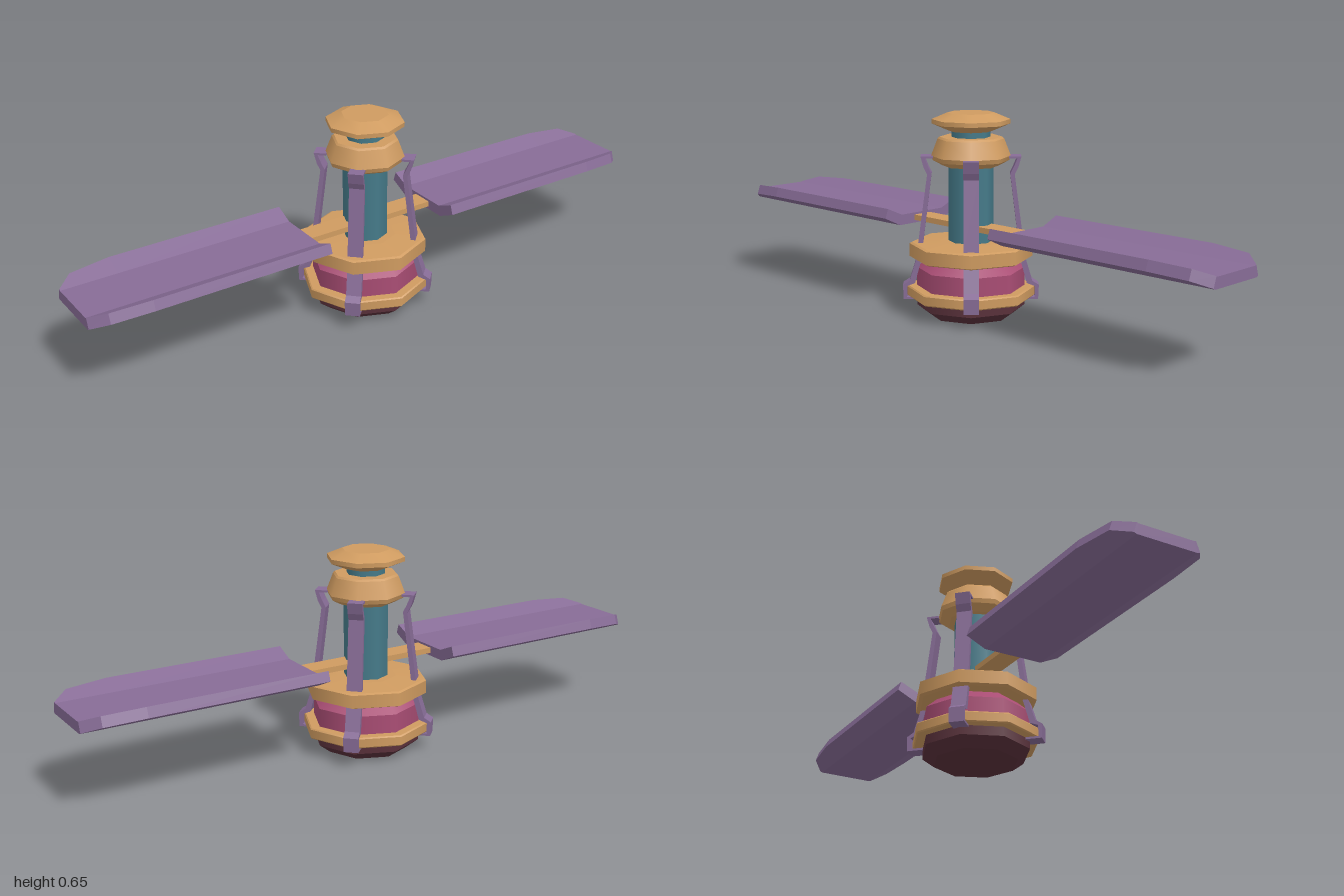
import * as THREE from 'three';
import { mergeGeometries } from 'three/addons/utils/BufferGeometryUtils.js';

const material = (name, color) => {
  const m = new THREE.MeshStandardMaterial({ color });
  m.name = name;
  return m;
};

// Eight-sided turned part: smooth around, sharp along the profile (listed bottom to top)
function turned(profile) {
  const bands = [];
  for (let i = 0; i < profile.length - 1; i++) {
    const pair = [profile[i], profile[i + 1]].map(([r, y]) => new THREE.Vector2(r, y));
    bands.push(new THREE.LatheGeometry(pair, 8));
  }
  return mergeGeometries(bands);
}

// Trough-shaped panel along +x, with upturned sides and a tapered tip
function panelGeometry() {
  const stations = [[0.23, 0.162], [0.82, 0.162], [0.95, 0.147], [1.0, 0.106]];
  const loops = stations.map(([x, w]) => {
    const t = w - 0.011;
    const low = 0.273 + (w - 0.098) * 0.47;
    const high = 0.307 + (t - 0.09) * 0.44;
    return [
      [-w, low], [-0.098, 0.273], [0.098, 0.273], [w, low],
      [t, high], [0.09, 0.307], [-0.09, 0.307], [-t, high],
    ].map(([z, y]) => [x, y, z]);
  });
  const positions = [];
  const quad = (a, b, c, d) => positions.push(...a, ...b, ...c, ...a, ...c, ...d);
  for (let s = 0; s < loops.length - 1; s++) {
    for (let i = 0; i < 8; i++) {
      const j = (i + 1) % 8;
      quad(loops[s][i], loops[s + 1][i], loops[s + 1][j], loops[s][j]);
    }
  }
  const first = loops[0], last = loops[loops.length - 1];
  for (let i = 0; i < 3; i++) {
    quad(first[i], first[i + 1], first[6 - i], first[7 - i]);
    quad(last[7 - i], last[6 - i], last[i + 1], last[i]);
  }
  const g = new THREE.BufferGeometry();
  g.setAttribute('position', new THREE.Float32BufferAttribute(positions, 3));
  g.computeVertexNormals();
  return g;
}

// Bent strap, drawn as radius and height, hooked at both ends
function strutGeometry() {
  const outline = [
    [0.165, 0.053], [0.217, 0.053], [0.219, 0.1], [0.197, 0.114], [0.174, 0.19],
    [0.169, 0.237], [0.139, 0.46], [0.15, 0.482], [0.16, 0.518], [0.12, 0.518],
    [0.12, 0.511], [0.147, 0.511], [0.136, 0.484], [0.125, 0.462], [0.153, 0.237],
    [0.157, 0.19], [0.18, 0.106], [0.206, 0.096], [0.206, 0.06], [0.165, 0.06],
  ].map(([r, y]) => new THREE.Vector2(r, y));
  const width = 0.048;
  const g = new THREE.ExtrudeGeometry(new THREE.Shape(outline), { depth: width, bevelEnabled: false });
  g.translate(0, 0, -width / 2);
  return g;
}

export function createModel() {
  const gold = material('gold', 0xcf9b60);
  const purple = material('purple', 0x876c96);
  const teal = material('teal', 0x457a89);
  const pink = material('pink', 0xa94d74);
  const maroon = material('maroon', 0x59303a);

  const model = new THREE.Group();
  const add = (name, geometry, mat) => {
    const mesh = new THREE.Mesh(geometry, mat);
    mesh.name = name;
    model.add(mesh);
    return mesh;
  };

  // Base body
  add('baseBottom', turned([[0, 0], [0.135, 0], [0.174, 0.03], [0.174, 0.065]]), maroon);
  add('baseBody', turned([[0.174, 0.065], [0.174, 0.155], [0.138, 0.187], [0, 0.187]]), pink);
  add('baseRing', turned([
    [0.172, 0.06], [0.203, 0.06], [0.207, 0.064], [0.207, 0.091], [0.203, 0.095], [0.172, 0.095],
  ]), gold);

  // Deck plate
  add('deck', turned([
    [0, 0.186], [0.185, 0.186], [0.198, 0.191], [0.198, 0.233], [0.19, 0.237], [0.1, 0.243], [0, 0.243],
  ]), gold);

  // Central column and its caps
  add('column', turned([[0.072, 0.24], [0.072, 0.49]]), teal);
  add('collar', turned([
    [0, 0.486], [0.09, 0.486], [0.122, 0.503], [0.127, 0.517], [0.106, 0.572], [0.1, 0.578], [0, 0.578],
  ]), gold);
  add('neck', turned([[0.062, 0.575], [0.062, 0.6]]), teal);
  add('topCap', turned([
    [0, 0.597], [0.07, 0.597], [0.125, 0.62], [0.125, 0.634], [0.075, 0.655], [0, 0.655],
  ]), gold);

  // Four diagonal struts
  const strut = strutGeometry();
  for (let i = 0; i < 4; i++) {
    add('strut' + (i + 1), strut, purple).rotation.y = Math.PI / 4 + (i * Math.PI) / 2;
  }

  // Cross arm and side panels
  const arm = new THREE.BoxGeometry(0.48, 0.018, 0.07);
  arm.translate(0, 0.291, 0);
  add('crossArm', arm, gold);
  const panel = panelGeometry();
  add('leftPanel', panel, purple);
  add('rightPanel', panel, purple).rotation.y = Math.PI;

  return model;
}
